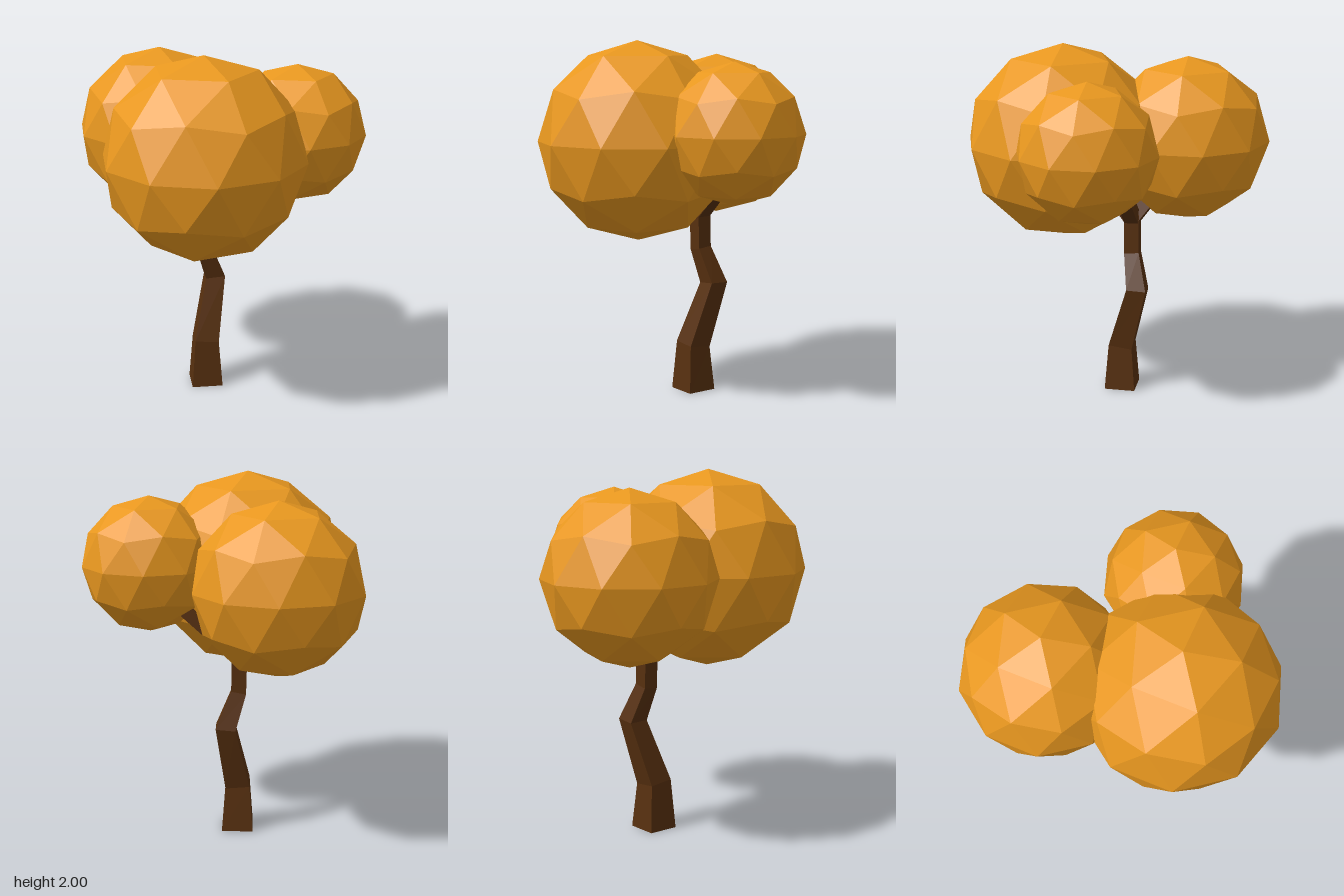
import * as THREE from 'three';

const leafMat = new THREE.MeshStandardMaterial({ color: 0xe8971f, flatShading: true });
const barkMat = new THREE.MeshStandardMaterial({ color: 0x57300f, flatShading: true });

// Square limb swept through [x, y, z, halfWidth] stations, mitred at each bend
function limb(name, stations, firstUp) {
  const up = new THREE.Vector3(0, 1, 0);
  const pts = stations.map(([x, y, z]) => new THREE.Vector3(x, y, z));
  const dirs = pts.slice(1).map((p, i) => p.clone().sub(pts[i]).normalize());
  const pos = [], idx = [];
  const last = pts.length - 1;
  pts.forEach((p, i) => {
    const n = i === 0 ? (firstUp ? up.clone() : dirs[0].clone())
      : i === last ? dirs[last - 1].clone()
      : dirs[i - 1].clone().add(dirs[i]).normalize();
    const q = new THREE.Quaternion().setFromUnitVectors(up, n);
    const h = stations[i][3];
    for (const [a, b] of [[-1, 1], [1, 1], [1, -1], [-1, -1]]) {
      const v = new THREE.Vector3(a * h, 0, b * h).applyQuaternion(q).add(p);
      pos.push(v.x, v.y, v.z);
    }
  });
  for (let i = 0; i < last; i++) {
    for (let k = 0; k < 4; k++) {
      const a = i * 4 + k, b = i * 4 + (k + 1) % 4;
      idx.push(a, b, b + 4, a, b + 4, a + 4);
    }
  }
  const t = last * 4;
  idx.push(0, 2, 1, 0, 3, 2, t, t + 1, t + 2, t, t + 2, t + 3); // end caps
  const geo = new THREE.BufferGeometry();
  geo.setAttribute('position', new THREE.Float32BufferAttribute(pos, 3));
  geo.setIndex(idx);
  geo.computeVertexNormals();
  const mesh = new THREE.Mesh(geo, barkMat);
  mesh.name = name;
  return mesh;
}

// Faceted ball standing on one of its points
function foliage(name, r, x, y, z) {
  const geo = new THREE.IcosahedronGeometry(r, 1);
  geo.rotateZ(-Math.atan(2 / (1 + Math.sqrt(5))));
  const mesh = new THREE.Mesh(geo, leafMat);
  mesh.position.set(x, y, z);
  mesh.name = name;
  return mesh;
}

export function createModel() {
  const tree = new THREE.Group();
  tree.name = 'tree';

  // Crooked trunk
  tree.add(limb('trunk', [
    [-0.10, 0, -0.052, 0.0875],
    [-0.10, 0.265, -0.052, 0.068],
    [-0.035, 0.625, -0.15, 0.055],
    [-0.105, 0.82, -0.11, 0.042],
    [-0.11, 1.05, -0.107, 0.042],
  ], true));

  // Branches from the fork into each crown
  const fork = [-0.11, 1.02, -0.107, 0.04];
  tree.add(limb('leftBranch', [fork, [0.27, 1.35, -0.09, 0.035]]));
  tree.add(limb('backBranch', [fork, [-0.25, 1.22, -0.27, 0.035]]));
  tree.add(limb('frontBranch', [fork, [-0.13, 1.3, 0.12, 0.035]]));

  // Crowns
  tree.add(foliage('frontFoliage', 0.55, -0.145, 1.45, 0.295));
  tree.add(foliage('backFoliage', 0.467, -0.315, 1.455, -0.383));
  tree.add(foliage('leftFoliage', 0.38, 0.395, 1.51, 0.045));
  return tree;
}
